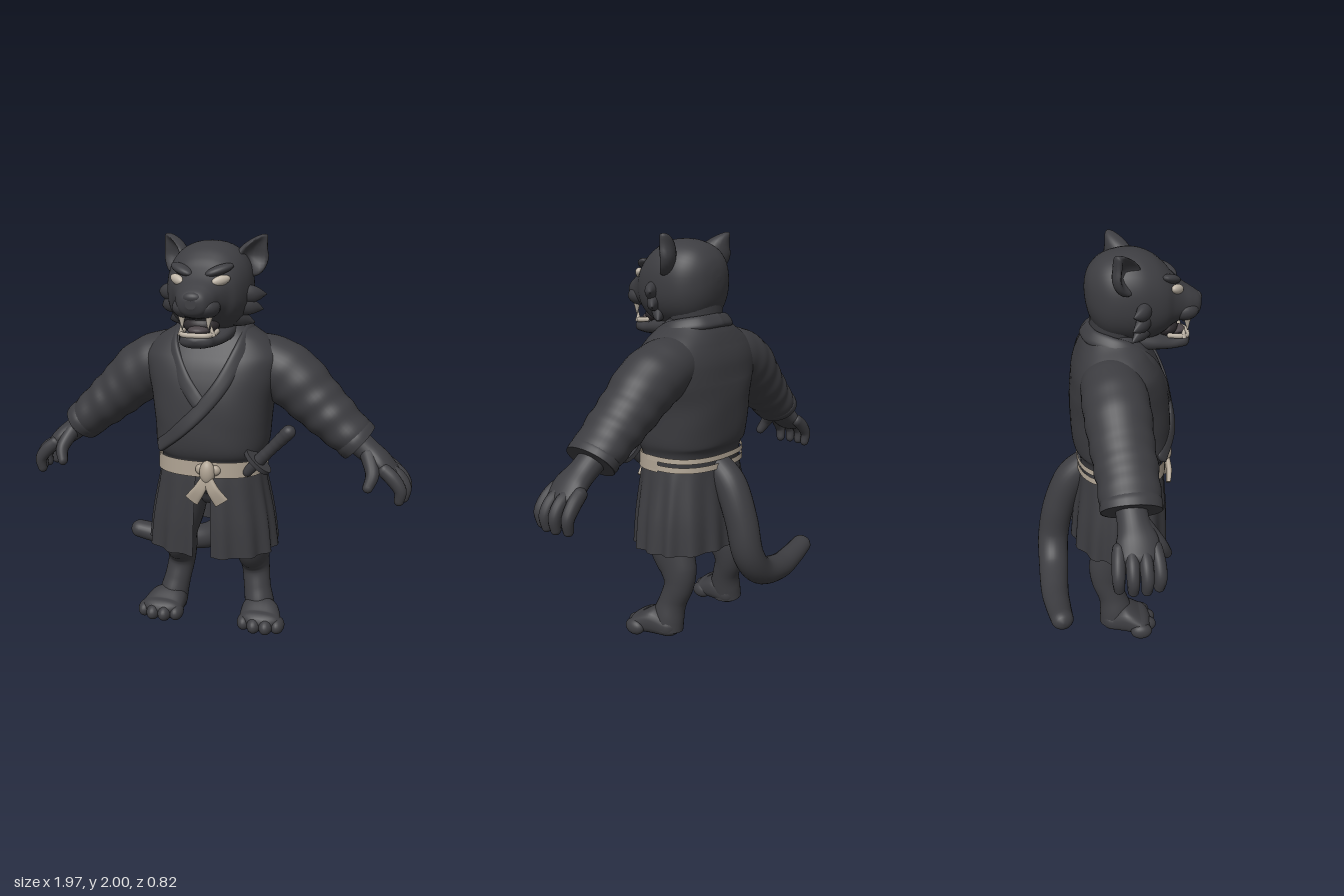
import * as THREE from 'three';

const mat = (name, color) => new THREE.MeshStandardMaterial({ name, color, side: THREE.DoubleSide });
const V = (x, y, z) => new THREE.Vector3(x, y, z);
const X = V(1, 0, 0), Z = V(0, 0, 1);

// Sweeps an oval along rows of [x, y, z, a, b]; a lies along ref, b across it.
// With axis set, every ring stays square to that axis.
function sweep(rows, { ref = Z, seg = 28, steps = 8, e = 2, bump = () => 1, start = 'flat', end = 'flat', arc, axis } = {}) {
  const last = rows.length - 1, n = last * steps;
  const at = (t) => {
    const i = Math.min(Math.floor(t * last), last - 1), u = t * last - i;
    const r = (k) => rows[Math.max(0, Math.min(last, k))];
    return rows[0].map((_, c) => {
      const p0 = r(i - 1)[c], p1 = r(i)[c], p2 = r(i + 1)[c], p3 = r(i + 2)[c];
      return p1 + 0.5 * u * (p2 - p0 + u * (2 * p0 - 5 * p1 + 4 * p2 - p3 + u * (3 * (p1 - p2) + p3 - p0)));
    });
  };
  const [t0, t1] = arc || [0, Math.PI * 2], cols = arc ? seg + 1 : seg;
  const pos = [], idx = [], rings = [];
  const pw = (v) => Math.sign(v) * Math.abs(v) ** (2 / e);
  const ring = (s, push = 0, k = 1) => {
    rings.push(pos.length / 3);
    const c = s.p.clone().addScaledVector(s.T, push);
    for (let j = 0; j < cols; j++) {
      const th = t0 + (t1 - t0) * j / seg, m = k * bump(s.t, th);
      const q = c.clone().addScaledVector(s.N, s.a * m * pw(Math.cos(th))).addScaledVector(s.B, s.b * m * pw(Math.sin(th)));
      pos.push(q.x, q.y, q.z);
    }
  };
  const frames = [];
  for (let i = 0; i <= n; i++) {
    const t = i / n, [x, y, z, a, b] = at(t);
    const f = at(Math.min(1, t + 0.002)), g = at(Math.max(0, t - 0.002));
    const p = V(x, y, z), T = axis ? axis.clone() : V(f[0] - g[0], f[1] - g[1], f[2] - g[2]).normalize();
    const N = (typeof ref === 'function' ? ref(p) : ref).clone();
    N.addScaledVector(T, -N.dot(T)).normalize();
    frames.push({ t, p, T, N, B: T.clone().cross(N), a, b });
  }
  const A = frames[0], E = frames[n], K = 5;
  const cap = (s, k, dir) => ring(s, dir * Math.min(s.a, s.b) * Math.sin(k / K * 1.5), Math.cos(k / K * 1.5));
  if (start === 'round') for (let k = K; k > 0; k--) cap(A, k, -1);
  frames.forEach((s) => ring(s));
  if (end === 'round') for (let k = 1; k <= K; k++) cap(E, k, 1);
  for (let i = 0; i + 1 < rings.length; i++) for (let j = 0; j < seg; j++) {
    const k = (j + 1) % cols, a = rings[i] + j, b = rings[i] + k, c = rings[i + 1] + k, d = rings[i + 1] + j;
    idx.push(a, b, c, a, c, d);
  }
  // End caps use their own ring so that flat ends keep a crisp edge.
  if (!arc) [[rings[0], true], [rings[rings.length - 1], false]].forEach(([from, flip]) => {
    const o = pos.length / 3, c = [0, 0, 0];
    for (let j = 0; j < seg; j++) for (let k = 0; k < 3; k++) {
      const v = pos[(from + j) * 3 + k];
      pos.push(v);
      c[k] += v / seg;
    }
    pos.push(...c);
    for (let j = 0; j < seg; j++) {
      const k = (j + 1) % seg;
      idx.push(o + seg, o + (flip ? k : j), o + (flip ? j : k));
    }
  });
  const g = new THREE.BufferGeometry();
  g.setAttribute('position', new THREE.Float32BufferAttribute(pos, 3));
  g.setIndex(idx);
  g.computeVertexNormals();
  return g;
}

export function createModel() {
  const model = new THREE.Group();
  const fur = mat('charcoal fur', 0x3d3d41), cloth = mat('charcoal cloth', 0x3c3c40);
  const sash = mat('pale sash', 0xaea292), ivory = mat('ivory', 0xbfb5a7);
  const dark = mat('mouth dark', 0x2f2b2e), flesh = mat('tongue grey', 0x4c4548);
  const add = (name, geo, m, p) => {
    const o = new THREE.Mesh(geo, m);
    o.name = name;
    if (p) o.position.set(...p);
    model.add(o);
    return o;
  };
  const ball = (name, m, p, s, rot = [0, 0, 0]) => {
    const o = add(name, new THREE.SphereGeometry(1, 24, 16), m, p);
    o.scale.set(...s);
    o.rotation.set(...rot);
    return o;
  };
  const spike = (name, m, from, to, r) => {
    const a = V(...from), d = V(...to).sub(a);
    const o = add(name, new THREE.ConeGeometry(r, d.length(), 12), m, a.clone().addScaledVector(d, 0.5).toArray());
    o.quaternion.setFromUnitVectors(V(0, 1, 0), d.normalize());
  };
  const both = (fn) => [1, -1].forEach(fn);
  const round = { start: 'round', end: 'round' };
  const waist = 2.5;

  // Robe body
  const torso = [
    [0, 0.86, 0.03, 0.256, 0.205], [0, 0.94, 0.03, 0.258, 0.21], [0, 1.0, 0.031, 0.28, 0.237],
    [0, 1.1, 0.026, 0.287, 0.247], [0, 1.22, 0.02, 0.302, 0.245], [0, 1.33, 0.008, 0.33, 0.232],
    [0, 1.42, -0.007, 0.345, 0.207], [0, 1.5, -0.017, 0.29, 0.173], [0, 1.56, -0.025, 0.2, 0.14], [0, 1.59, -0.03, 0.16, 0.12]];
  add('robeBody', sweep(torso, { ref: X, seg: 64, e: waist, bump: (t, th) => 1 + 0.005 * Math.sin(t * 30 + 5 * Math.cos(th)) * (1 - t) }), cloth);
  const front = (x, y) => {
    const i = Math.max(1, torso.findIndex((r) => r[1] >= y)), p = torso[i - 1], q = torso[i];
    const u = (y - p[1]) / (q[1] - p[1]), f = (k) => p[k] + (q[k] - p[k]) * u;
    return f(2) + f(4) * Math.max(0, 1 - (Math.abs(x) / f(3)) ** waist) ** (1 / waist);
  };

  // Crossed collar: the left lapel lies over the right
  const lapel = (s, pts, lift) => sweep([
    ...[[0, 1.595, -0.14], [0.1, 1.588, -0.115], [0.165, 1.572, -0.03], [0.178, 1.545, 0.055]].map(([x, y, z]) => [x * s, y, z, 0.018, 0.036]),
    ...pts.map(([x, y]) => [x * s, y, front(x, y) + lift, 0.016, 0.036])],
  { ref: (p) => V(p.x, 0.1, p.z + 0.02), e: 2.6, ...round });
  add('underLapel', lapel(-1, [[0.165, 1.47], [0.1, 1.35], [0.04, 1.27], [0.01, 1.235]], -0.002), cloth);
  add('overLapel', lapel(1, [[0.165, 1.47], [0.1, 1.33], [0.01, 1.21], [-0.1, 1.1], [-0.22, 1.0]], 0.005), cloth);

  // Skirt, slit at the front, with pleats that deepen toward the hem
  add('skirt', sweep([[0, 0.89, 0.03, 0.212, 0.256], [0, 0.8, 0.03, 0.222, 0.276], [0, 0.62, 0.025, 0.24, 0.31], [0, 0.457, 0.02, 0.248, 0.328]],
    { seg: 150, e: 2.4, arc: [0.08, Math.PI * 2 - 0.1], bump: (t, th) => 1 + 0.036 * t * Math.sin(15 * th + Math.sin(4 * th)) }), cloth);
  add('shorts', sweep([[0, 0.9, 0.02, 0.22, 0.17], [0, 0.8, 0.01, 0.22, 0.17], [0, 0.73, 0, 0.18, 0.09]], { ref: X, end: 'round' }), cloth);

  // Sash: broad in front, two bands meeting at the back
  const band = (y0, y1, arc) => sweep([[0, y1, 0.03, 0.222, 0.271], [0, y0, 0.03, 0.225, 0.274]], { seg: 64, e: waist, steps: 2, arc });
  add('sashFront', band(0.865, 0.943, [-1.6, 1.6]), sash);
  [[0.874, 0.902], [0.92, 0.945]].forEach(([a, b]) => add('sashBand', band(a, b, [1.4, 4.9]), sash));
  ball('sashKnot', sash, [0.033, 0.895, 0.268], [0.038, 0.06, 0.034]);
  both((s) => ball('sashLoop', sash, [0.033 + s * 0.035, 0.905, 0.255], [0.028, 0.026, 0.02], [0, 0, s * 0.2]));
  both((s) => add('sashTail', sweep([[0.033, 0.875, 0.275, 0.013, 0.024], [0.033 + s * 0.035, 0.81, 0.285, 0.014, 0.03], [0.033 + s * 0.075, 0.752, 0.278, 0.011, 0.037]], { e: 3 }), sash));

  // Short sword tucked in the sash
  const line = (u, r, q = r) => [0.265 + 0.15 * u, 0.95 + 0.165 * u, 0.2 + 0.025 * u, r, q];
  add('swordHandle', sweep([line(0, 0.031), line(0.5, 0.029), line(1, 0.034)], { ...round, bump: (t) => 1 + 0.05 * Math.sin(t * 60) }), cloth);
  add('swordGuard', sweep([line(-0.05, 0.05, 0.078), line(0.05, 0.05, 0.078)], {}), cloth);
  add('swordSheath', sweep([line(0, 0.027), line(-0.35, 0.025)], { end: 'round' }), cloth);

  both((s) => {
    const m = (rows) => rows.map(([x, ...r]) => [x * s, ...r]);
    // Sleeve and cuff
    add('sleeve', sweep(m([[0.1, 1.43, -0.03, 0.13, 0.1], [0.25, 1.39, -0.03, 0.15, 0.142], [0.38, 1.325, -0.022, 0.154, 0.15], [0.5, 1.22, -0.012, 0.146, 0.133],
      [0.61, 1.125, 0, 0.14, 0.117], [0.722, 1.03, 0.005, 0.132, 0.098]]),
    { seg: 40, steps: 12, bump: (t, th) => 1 + 0.032 * t * Math.sin(t * 44 + 1.5 * Math.sin(th)) }), cloth);
    add('cuff', sweep(m([[0.68, 1.066, 0.004, 0.13, 0.1], [0.7, 1.049, 0.005, 0.138, 0.106], [0.724, 1.028, 0.005, 0.136, 0.103]]), {}), cloth);
    // Hand
    add('palm', sweep(m([[0.68, 1.06, 0, 0.07, 0.066], [0.77, 0.99, 0.01, 0.072, 0.058], [0.83, 0.945, 0.018, 0.092, 0.053], [0.88, 0.9, 0.018, 0.09, 0.042]]), { end: 'round' }), fur);
    [-0.062, -0.01, 0.042, 0.092].forEach((z, i) => {
      const d = [-0.02, 0, 0, -0.02][i];
      add('finger', sweep(m([[0.85, 0.925, z, 0.03, 0.034], [0.915 + d, 0.888, z * 1.1, 0.03, 0.035], [0.953 + d, 0.835, z * 1.15, 0.028, 0.03], [0.95 + d, 0.782, z * 1.1, 0.024, 0.024]]),
        { seg: 14, ...round }), fur);
    });
    add('thumb', sweep(m([[0.77, 0.985, 0.05, 0.04, 0.04], [0.8, 0.91, 0.115, 0.033, 0.033], [0.785, 0.85, 0.15, 0.025, 0.025]]), { seg: 14, ref: X, ...round }), fur);
    // Leg with a raised hock
    add('leg', sweep(m([[0.13, 0.76, 0.01, 0.1, 0.14], [0.16, 0.6, 0.015, 0.1, 0.14], [0.19, 0.46, 0.0, 0.085, 0.135], [0.2, 0.35, -0.05, 0.077, 0.105],
      [0.208, 0.27, -0.06, 0.072, 0.08], [0.222, 0.18, -0.033, 0.071, 0.072], [0.238, 0.1, -0.016, 0.077, 0.084], [0.248, 0.03, -0.016, 0.076, 0.084]]), { ref: X }), fur);
    // Foot
    add('foot', sweep(m([[0.245, 0.055, -0.04, 0.075, 0.055], [0.255, 0.074, 0.03, 0.098, 0.074], [0.27, 0.054, 0.11, 0.112, 0.054]]), { ref: X, e: 2.4, axis: Z, ...round }), fur);
    [[0.186, 0.112], [0.243, 0.136], [0.305, 0.136], [0.36, 0.108]].forEach(([x, z]) => ball('toe', fur, [x * s, 0.042, z], [0.037, 0.042, 0.056]));
  });

  // Tail
  add('tail', sweep([[0.005, 0.88, -0.13, 0.07, 0.07], [0.005, 0.79, -0.225, 0.082, 0.082], [0.005, 0.62, -0.295, 0.082, 0.082], [-0.01, 0.44, -0.33, 0.08, 0.078],
    [-0.11, 0.32, -0.335, 0.077, 0.074], [-0.28, 0.28, -0.335, 0.07, 0.066], [-0.43, 0.29, -0.32, 0.062, 0.057], [-0.545, 0.312, -0.306, 0.055, 0.05]], { end: 'round' }), fur);

  // Neck and skull: each skull row is z, half width, top, bottom
  add('neck', sweep([[0, 1.4, 0, 0.15, 0.13], [0, 1.52, 0.005, 0.14, 0.13], [0, 1.66, 0.02, 0.16, 0.14]], { ref: X }), fur);
  add('skull', sweep([[-0.142, 0.012, 1.8, 1.78], [-0.136, 0.055, 1.845, 1.725], [-0.118, 0.105, 1.89, 1.66], [-0.08, 0.153, 1.932, 1.6], [-0.03, 0.185, 1.957, 1.565], [0.04, 0.2, 1.972, 1.55],
    [0.11, 0.2, 1.968, 1.55], [0.175, 0.185, 1.942, 1.56], [0.225, 0.163, 1.902, 1.585], [0.265, 0.132, 1.858, 1.615], [0.31, 0.106, 1.817, 1.635], [0.355, 0.087, 1.788, 1.645],
    [0.392, 0.062, 1.762, 1.66], [0.408, 0.025, 1.735, 1.69]].map(([z, w, t, b]) => [0, (t + b) / 2, z, w, (t - b) / 2]), { ref: X, seg: 44, e: 2.3, axis: Z }), fur);
  add('lowerJaw', sweep([[0, 1.56, 0.08, 0.13, 0.06], [0, 1.547, 0.18, 0.125, 0.045], [0, 1.535, 0.26, 0.103, 0.034], [0, 1.538, 0.325, 0.08, 0.034]], { ref: X, e: 2.4, end: 'round' }), fur);
  ball('mouthInside', dark, [0, 1.6, 0.24], [0.085, 0.045, 0.06]);
  ball('tongue', flesh, [0, 1.582, 0.28], [0.052, 0.022, 0.058]);
  ball('nose', fur, [0, 1.738, 0.385], [0.045, 0.026, 0.026]);
  // Lower tooth row around the jaw rim
  add('lowerTeeth', sweep([[-0.08, 1.576, 0.25], [-0.078, 1.57, 0.31], [-0.045, 1.566, 0.344], [0.045, 1.566, 0.344], [0.078, 1.57, 0.31], [0.08, 1.576, 0.25]]
    .map((p) => [...p, 0.012, 0.01]), { ref: V(0, 1, 0), seg: 10, ...round }), ivory);

  both((s) => {
    ball('muzzlePad', fur, [s * 0.05, 1.69, 0.32], [0.06, 0.048, 0.07]);
    ball('brow', fur, [s * 0.088, 1.85, 0.25], [0.07, 0.022, 0.036], [0, s * 0.6, s * 0.3]);
    ball('eye', ivory, [s * 0.102, 1.806, 0.278], [0.047, 0.023, 0.02], [0, s * 0.65, s * 0.25]);
    spike('upperFang', ivory, [s * 0.064, 1.655, 0.335], [s * 0.06, 1.588, 0.34], 0.018);
    spike('lowerFang', ivory, [s * 0.074, 1.562, 0.318], [s * 0.07, 1.618, 0.322], 0.016);
    // Swept-back cheek tufts
    [[1.735, 0.264, 1.73], [1.69, 0.25, 1.66], [1.645, 0.21, 1.595]].forEach(([y, x, tip]) =>
      add('cheekTuft', sweep([[s * 0.1, y, 0.14, 0.05, 0.045], [s * (x - 0.055), (y + tip) / 2, 0.105, 0.04, 0.03], [s * x, tip, 0.06, 0.003, 0.003]],
        { ref: V(0, 1, 0), seg: 16 }), fur));
    // Cupped ear, leaning out to a tip
    const ear = ball('ear', fur, [s * 0.188, 1.903, 0.04], [0.085, 0.097, 0.06], [0, s * 0.75, 0]);
    const p = ear.geometry.attributes.position;
    for (let i = 0; i < p.count; i++) {
      const x = p.getX(i), y = p.getY(i), z = p.getZ(i), up = Math.max(0, y);
      p.setXYZ(i, x * (1 - 0.35 * up) + s * 0.8 * up * up, y, z > 0 ? z * (1 - 1.5 * Math.max(0, 1 - x * x - y * y)) : z);
    }
    ear.geometry.computeVertexNormals();
  });
  return model;
}
